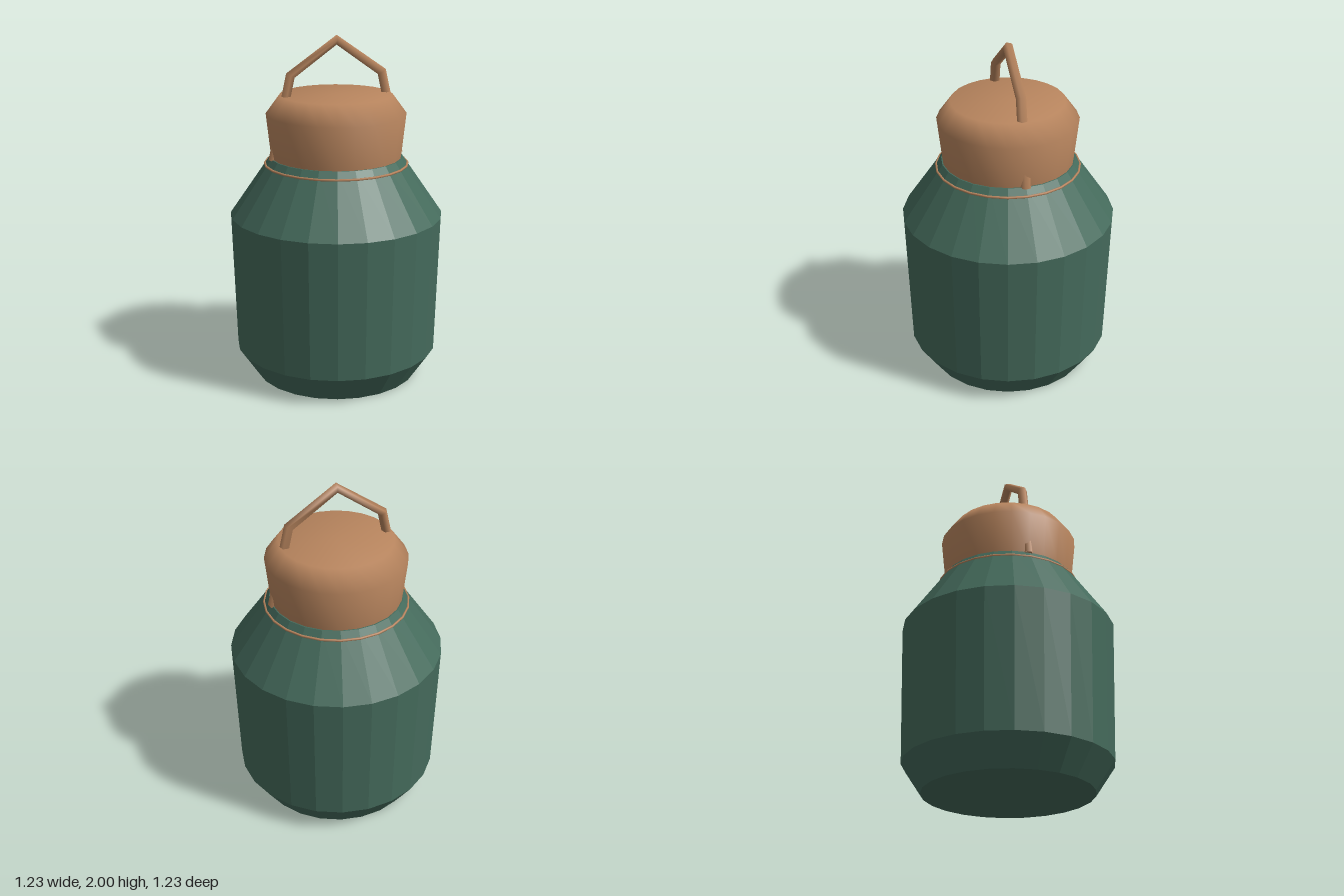
import * as THREE from 'three';

const SIDES = 24;

// Piecewise straight path with one even step per corner
class BentPath extends THREE.Curve {
  constructor(points) {
    super();
    this.points = points;
  }
  getPoint(t, target = new THREE.Vector3()) {
    const n = this.points.length - 1;
    const i = Math.min(Math.floor(t * n), n - 1);
    return target.copy(this.points[i]).lerp(this.points[i + 1], t * n - i);
  }
  getUtoTmapping(u) {
    return u;
  }
}

function lathe(profile) {
  return new THREE.LatheGeometry(profile.map(([r, y]) => new THREE.Vector2(r, y)), SIDES);
}

export function createModel() {
  const group = new THREE.Group();
  const green = new THREE.MeshStandardMaterial({ color: 0x456b5c, flatShading: true });
  green.name = 'green enamel';
  const copper = new THREE.MeshStandardMaterial({ color: 0xb8855e });
  copper.name = 'copper';

  const add = (name, geometry, material) => {
    const mesh = new THREE.Mesh(geometry, material);
    mesh.name = name;
    group.add(mesh);
    return mesh;
  };

  // Faceted jar body with chamfered foot and sloping shoulder
  add('body', lathe([
    [0, 0], [0.482, 0], [0.592, 0.165], [0.615, 0.97], [0.382, 1.308], [0, 1.308],
  ]), green);

  // Thin band around the neck
  const band = add('neckBand', new THREE.TorusGeometry(0.411, 0.007, 6, SIDES), copper);
  band.rotation.x = Math.PI / 2;
  band.position.y = 1.266;

  // Smooth lid, flat on top; the underside is a separate disc
  add('lid', lathe([[0.375, 1.304], [0.402, 1.555], [0.322, 1.664], [0, 1.664]]), copper);
  add('lidUnderside', lathe([[0, 1.304], [0.375, 1.304]]), copper);

  // Angular carrying handle whose ends run down through the lid
  const path = new BentPath([
    [-0.374, 1.3], [-0.268, 1.782], [0, 1.972], [0.268, 1.782], [0.374, 1.3],
  ].map(([x, y]) => new THREE.Vector3(x, y, 0)));
  const handle = new THREE.TubeGeometry(path, 4, 0.029, 5, false);
  const handleMaterial = copper;
  add('handle', handle, handleMaterial);

  // Caps closing the handle ends
  for (const side of [-1, 1]) {
    const cap = add('handleEnd', new THREE.CircleGeometry(0.027, 5), copper);
    cap.position.set(side * 0.374, 1.3, 0);
    cap.lookAt(side * 0.48, 0.818, 0);
  }

  return group;
}
